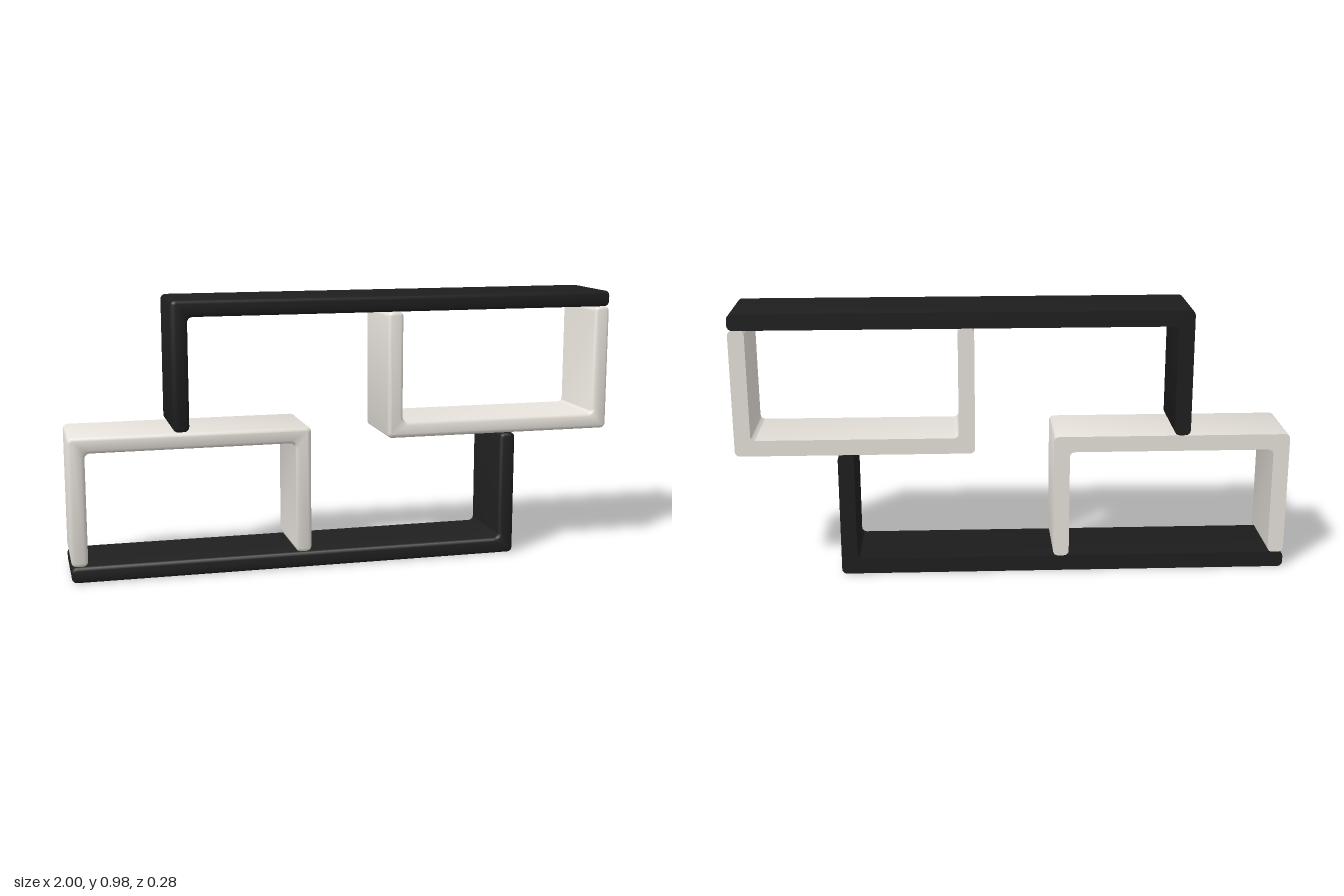
import * as THREE from 'three';
import { toCreasedNormals } from 'three/addons/utils/BufferGeometryUtils.js';

const HALF_DEPTH = 0.141, BEVEL = 0.013, RADIUS = 0.018, T = 0.058, HEIGHT = 0.979;

// Closed outline with every corner rounded to a near-circular arc
function roundedOutline(points) {
  const shape = new THREE.Shape();
  const v = points.map(([x, y]) => new THREE.Vector2(x, y));
  const toward = (a, b, length) => b.clone().sub(a).setLength(length).add(a);
  v.forEach((p, i) => {
    const prev = v[(i + v.length - 1) % v.length], next = v[(i + 1) % v.length];
    const start = toward(p, prev, RADIUS), end = toward(p, next, RADIUS);
    const c1 = toward(p, prev, RADIUS * 0.448), c2 = toward(p, next, RADIUS * 0.448);
    if (i === 0) shape.moveTo(start.x, start.y);
    else shape.lineTo(start.x, start.y);
    shape.bezierCurveTo(c1.x, c1.y, c2.x, c2.y, end.x, end.y);
  });
  shape.closePath();
  return shape;
}

// Extruded board: bevelled front edges, flat back
function boardGeometry(points) {
  const geo = new THREE.ExtrudeGeometry(roundedOutline(points), {
    depth: 2 * HALF_DEPTH - BEVEL, curveSegments: 4,
    bevelThickness: BEVEL, bevelSize: BEVEL, bevelOffset: -BEVEL, bevelSegments: 2,
  });
  const pos = geo.attributes.position;
  for (let i = 0; i < pos.count; i++) pos.setZ(i, Math.max(pos.getZ(i), 0) - HALF_DEPTH);
  return toCreasedNormals(geo, 0.9);
}

export function createModel() {
  const group = new THREE.Group();
  const black = new THREE.MeshStandardMaterial({ name: 'black', color: 0x1e1e1e });
  const beige = new THREE.MeshStandardMaterial({ name: 'warmGrey', color: 0xe6e1da });

  // L-shaped shelf: long board with one upright
  const right = 0.636;
  const shelf = boardGeometry([
    [-1, 0], [right, 0], [right, 0.46], [right - T, 0.46], [right - T, T], [-1, T],
  ]);
  // U-shaped bracket standing on the long board
  const top = T + 0.46, inner = top - T, end = -0.142;
  const bracket = boardGeometry([
    [-1, T], [-1 + T, T], [-1 + T, inner], [end - T, inner],
    [end - T, T], [end, T], [end, top], [-1, top],
  ]);

  // The upper half is the lower half turned upside down
  for (const level of ['lower', 'upper']) {
    const half = new THREE.Group();
    half.name = level + 'Half';
    for (const [name, geo, mat] of [['Shelf', shelf, black], ['Bracket', bracket, beige]]) {
      const mesh = new THREE.Mesh(geo, mat);
      mesh.name = level + name;
      half.add(mesh);
    }
    if (level === 'upper') {
      half.rotation.z = Math.PI;
      half.position.y = HEIGHT;
    }
    group.add(half);
  }
  return group;
}
